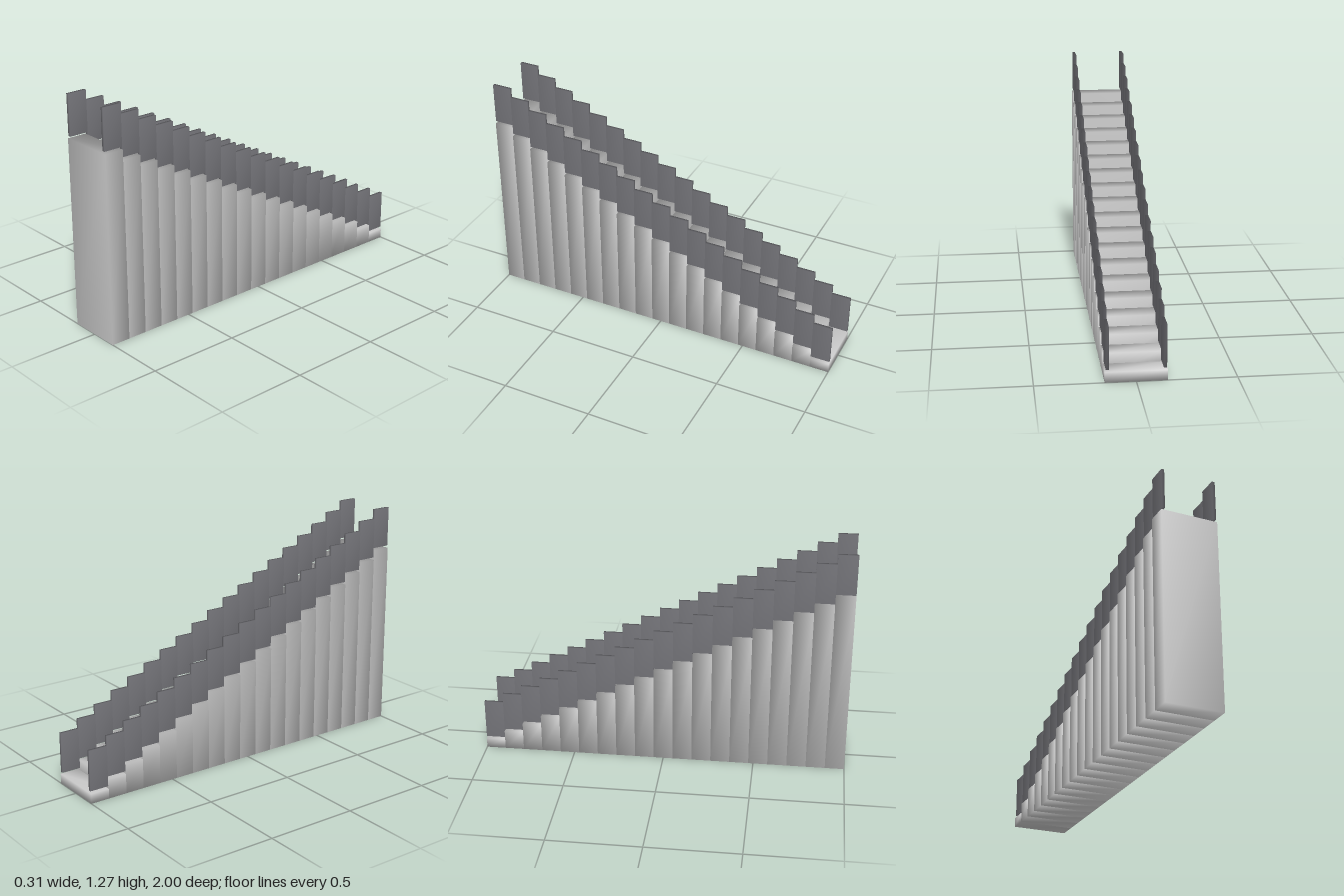
import * as THREE from 'three';
import { mergeVertices } from 'three/addons/utils/BufferGeometryUtils.js';

const STEPS = 19;
const DEPTH = 2 / STEPS;
const RISE = 1.032 / STEPS;
const WIDTH = 0.31;
const PANEL = { x: 0.142, thickness: 0.016, height: 0.222, gap: 0.013 };

// Box with corner normals shared between its faces, for soft shading
function softBox(w, h, d) {
  const box = new THREE.BoxGeometry(w, h, d);
  box.deleteAttribute('normal');
  box.deleteAttribute('uv');
  const soft = mergeVertices(box);
  soft.computeVertexNormals();
  return soft;
}

export function createModel() {
  const staircase = new THREE.Group();
  staircase.name = 'staircase';
  const stepMaterial = new THREE.MeshStandardMaterial({ color: 0xcccccc });
  const panelMaterial = new THREE.MeshStandardMaterial({ color: 0x75757a });
  const panelGeometry = softBox(PANEL.thickness, PANEL.height, DEPTH);

  // Steps climb from the back to the front, each a full block down to the floor
  for (let i = 0; i < STEPS; i++) {
    const top = RISE * (i + 1);
    const z = -1 + DEPTH * (i + 0.5);

    const step = new THREE.Mesh(softBox(WIDTH, top, DEPTH), stepMaterial);
    step.name = `step${i + 1}`;
    step.position.set(0, top / 2, z);
    staircase.add(step);

    // Side panels float just above each tread
    for (const [side, sign] of [['left', 1], ['right', -1]]) {
      const panel = new THREE.Mesh(panelGeometry, panelMaterial);
      panel.name = `${side}Panel${i + 1}`;
      panel.position.set(sign * PANEL.x, top + PANEL.gap + PANEL.height / 2, z);
      staircase.add(panel);
    }
  }
  return staircase;
}
